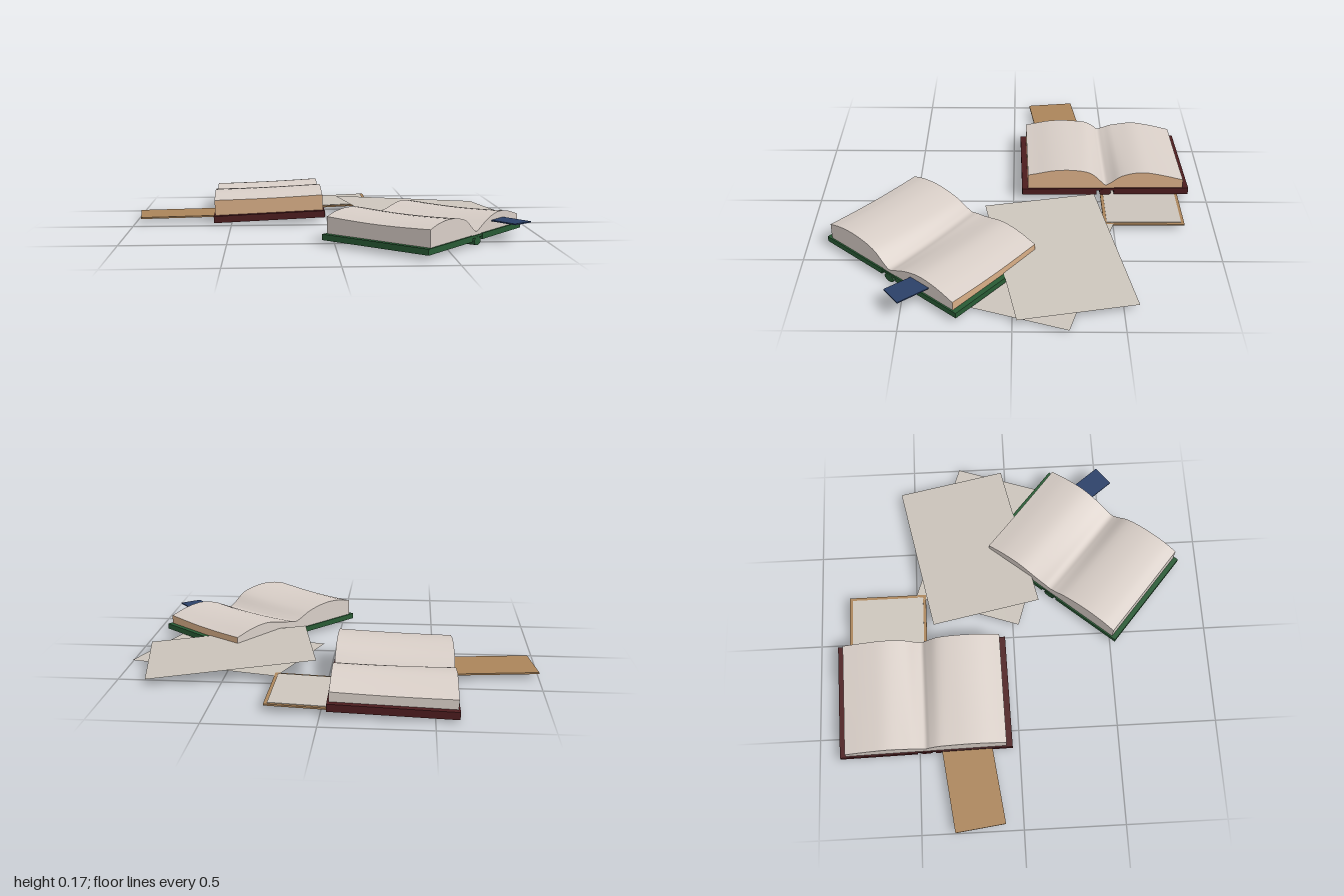
import * as THREE from 'three';

const mat = (name, color, side = THREE.DoubleSide) => {
  const m = new THREE.MeshStandardMaterial({ color, side });
  m.name = name;
  return m;
};

// Surface through a grid of points: rows of equal length
function surface(rows) {
  const n = rows[0].length, index = [];
  for (let i = 0; i < rows.length - 1; i++) {
    for (let j = 0; j < n - 1; j++) {
      const a = i * n + j, b = a + n;
      index.push(a, a + 1, b, b, a + 1, b + 1);
    }
  }
  const g = new THREE.BufferGeometry();
  g.setAttribute('position', new THREE.Float32BufferAttribute(rows.flat(2), 3));
  g.setIndex(index);
  g.computeVertexNormals();
  return g;
}

function add(parent, name, geometry, material, x = 0, y = 0, z = 0) {
  const mesh = new THREE.Mesh(geometry, material);
  mesh.name = name;
  mesh.position.set(x, y, z);
  parent.add(mesh);
  return mesh;
}

// Open book: local x runs along the spine, the two halves lie at +z and -z.
// edges gives the materials of the page block sides.
function openBook(name, o) {
  const book = new THREE.Group();
  book.name = name;
  const { thick, cover, page, edges } = o;

  // cover boards, hinge strip and rounded spine
  for (const s of [-1, 1]) {
    add(book, 'coverBoard', new THREE.BoxGeometry(0.575, thick, 0.385), cover, 0, thick / 2, s * 0.2375);
  }
  add(book, 'hinge', new THREE.BoxGeometry(0.57, 0.012, 0.1), cover, 0, thick - 0.008, 0);
  const spine = add(book, 'spine', new THREE.CylinderGeometry(0.02, 0.02, 0.572, 14), cover, 0, o.spineY, 0);
  spine.rotation.z = Math.PI / 2;
  spine.scale.z = 1.5;

  // page block with two arched halves
  const W = 0.28, xs = 10;
  const curve = new THREE.CatmullRomCurve3(o.profile.map(([z, y]) => new THREE.Vector3(0, y, z)));
  const pts = curve.getPoints(44);
  const top = [];
  for (let i = 0; i <= xs; i++) {
    const x = -W + (2 * W * i) / xs, t = 1 - i / xs;
    top.push(pts.map(p => [x, p.y + o.fill * t * Math.exp(-((p.z / 0.07) ** 2)) - o.dip * Math.sin(Math.PI * t), p.z]));
  }
  const drop = line => [line, line.map(([x, , z]) => [x, thick - 0.002, z])];
  add(book, 'openPages', surface(top), page);
  add(book, 'pageEndRight', surface(drop(top[xs])), edges.right);
  add(book, 'pageEndLeft', surface(drop(top[0])), edges.left);
  add(book, 'pageEdgeFront', surface(drop(top.map(r => r[0]))), edges.front);
  add(book, 'pageEdgeBack', surface(drop(top.map(r => r[r.length - 1]))), edges.back);
  return book;
}

export function createModel() {
  const root = new THREE.Group();
  root.name = 'booksAndPapers';

  const page = mat('page', 0xd8cec7);
  const sheet = mat('loosePaper', 0xcbc4bb);
  const edge = mat('peachPageEdge', 0xd9ae87);
  const red = mat('darkRedCover', 0x4c1c1e, THREE.FrontSide);
  const green = mat('greenCover', 0x285a34, THREE.FrontSide);
  const tan = mat('tanCard', 0xaa845a, THREE.FrontSide);
  const blue = mat('blueRibbon', 0x2b4068, THREE.FrontSide);

  // red book, leaning on the notebook below it
  const redBook = openBook('redBook', {
    thick: 0.035, spineY: 0.012, cover: red, page, fill: 0.035, dip: 0.003,
    edges: { right: edge, left: page, front: edge, back: page },
    profile: [[0.4, 0.114], [0.36, 0.121], [0.27, 0.138], [0.17, 0.14], [0.08, 0.122], [0.025, 0.075],
      [0, 0.052], [-0.03, 0.066], [-0.08, 0.102], [-0.18, 0.124], [-0.28, 0.11], [-0.4, 0.08]],
  });
  redBook.position.set(-0.31, 0.022, -0.47);
  redBook.rotation.set(0, 0.017, 0.042);
  root.add(redBook);

  // green book, turned in the foreground
  const greenBook = openBook('greenBook', {
    thick: 0.028, spineY: -0.002, cover: green, page, fill: 0.03, dip: 0.008,
    edges: { right: page, left: page, front: page, back: edge },
    profile: [[0.405, 0.108], [0.33, 0.126], [0.22, 0.131], [0.1, 0.106], [0.03, 0.056],
      [0, 0.042], [-0.04, 0.058], [-0.11, 0.088], [-0.2, 0.108], [-0.3, 0.1], [-0.405, 0.072]],
  });
  greenBook.position.set(0.44, 0.024, 0.385);
  greenBook.rotation.y = -0.71;
  root.add(greenBook);

  // thin notebook under the red book, with paper on both faces
  const notebook = new THREE.Group();
  notebook.name = 'thinNotebook';
  add(notebook, 'notebookCover', new THREE.BoxGeometry(0.53, 0.008, 0.4), tan);
  for (const s of [-1, 1]) {
    add(notebook, 'notebookPage', new THREE.BoxGeometry(0.5, 0.003, 0.37), sheet, 0, s * 0.005, 0);
  }
  notebook.position.set(-0.015, 0.025, -0.65);
  notebook.rotation.z = 0.042;
  root.add(notebook);

  // tan card sticking out of the red book
  const card = add(root, 'tanCard', new THREE.BoxGeometry(0.45, 0.008, 0.25), tan, -0.762, 0.03, -0.24);
  card.rotation.y = 0.128;

  // ribbon marker sticking out of the green book
  const marker = add(root, 'ribbonMarker', new THREE.BoxGeometry(0.25, 0.006, 0.115), blue, 0.8, 0.096, 0.437);
  marker.rotation.y = -0.915;

  // two loose sheets, each given by four corners
  const sheets = [
    [[0.06, 0.092, -0.41], [0.85, 0.032, -0.57], [0.17, 0.092, 0.14], [0.96, 0.034, -0.02]],
    [[0.24, 0.04, -0.5], [1, 0.012, -0.25], [0.06, 0.03, 0.03], [0.82, 0.012, 0.28]],
  ];
  for (const [a, b, c, d] of sheets) add(root, 'looseSheet', surface([[a, b], [c, d]]), sheet);

  return root;
}
